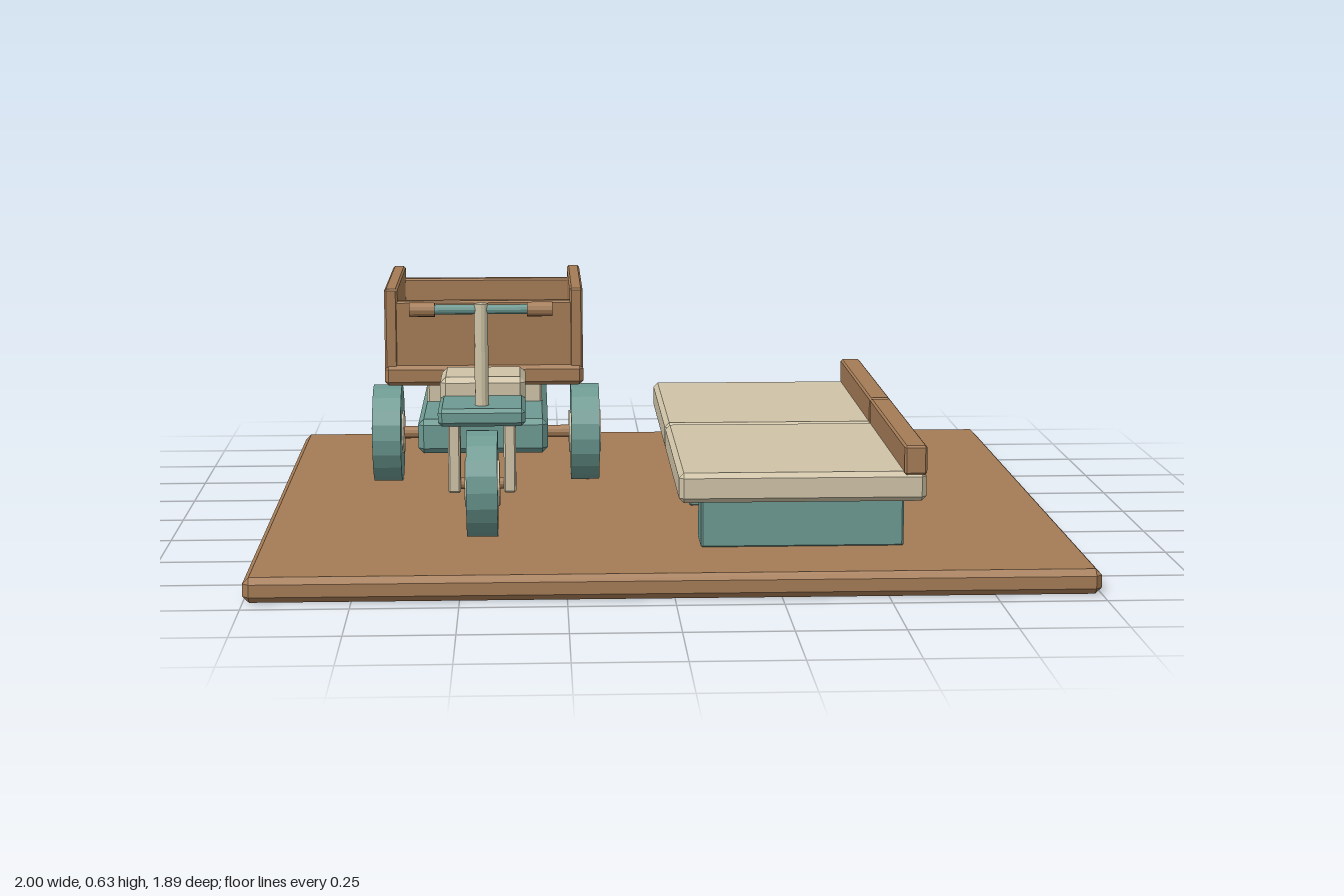
import * as THREE from 'three';
import { ConvexGeometry } from 'three/addons/geometries/ConvexGeometry.js';

const material = (color) => new THREE.MeshStandardMaterial({ color, flatShading: true });

export function createModel() {
  const model = new THREE.Group();
  model.name = 'cargoTrikeAndPlatforms';
  const brown = material(0xa57c56);
  const teal = material(0x6d9a92);
  const cream = material(0xd0c4a8);

  const add = (parent, name, geometry, mat) => {
    const mesh = new THREE.Mesh(geometry, mat);
    mesh.name = name;
    parent.add(mesh);
    return mesh;
  };

  // Chamfered box given by its min and max on each axis
  const block = (parent, name, mat, [x0, x1], [y0, y1], [z0, z1], c = 0.008) => {
    const half = [(x1 - x0) / 2, (y1 - y0) / 2, (z1 - z0) / 2];
    const points = [];
    for (const sx of [-1, 1]) for (const sy of [-1, 1]) for (const sz of [-1, 1]) {
      for (let axis = 0; axis < 3; axis++) {
        const p = half.map((h, i) => (i === axis ? h : h - c));
        points.push(new THREE.Vector3(p[0] * sx, p[1] * sy, p[2] * sz));
      }
    }
    const mesh = add(parent, name, new ConvexGeometry(points), mat);
    mesh.position.set((x0 + x1) / 2, (y0 + y1) / 2, (z0 + z1) / 2);
    return mesh;
  };

  // Cylinder lying along x
  const rod = (parent, name, mat, radius, length, x, y, z, sides = 12) => {
    const geometry = new THREE.CylinderGeometry(radius, radius, length, sides).rotateZ(Math.PI / 2);
    const mesh = add(parent, name, geometry, mat);
    mesh.position.set(x, y, z);
    return mesh;
  };

  // Ground board
  block(model, 'baseBoard', brown, [-1, 1], [0, 0.06], [-0.945, 0.945], 0.015);

  // Two loading platforms, end to end
  for (const s of [-1, 1]) {
    const platform = new THREE.Group();
    platform.name = s > 0 ? 'frontPlatform' : 'rearPlatform';
    model.add(platform);
    const span = (a, b) => (s > 0 ? [a, b] : [-b, -a]);
    block(platform, 'platformSlab', cream, [0.022, 0.62], [0.175, 0.248], span(0.004, 0.695), 0.012);
    block(platform, 'platformRail', brown, [0.565, 0.62], [0.24, 0.312], span(0.004, 0.695), 0.005);
    block(platform, 'platformFoot', teal, [0.077, 0.57], [0.058, 0.18], span(0.04, 0.16), 0.005);
    block(platform, 'platformFoot', teal, [0.077, 0.57], [0.058, 0.18], span(0.543, 0.66), 0.005);
  }

  // Cargo trike, built around its own centre line
  const trike = new THREE.Group();
  trike.name = 'cargoTrike';
  trike.position.x = -0.452;
  model.add(trike);

  // Wheels with hubs
  const wheel = (name, x, z) => {
    const group = new THREE.Group();
    group.name = name;
    group.position.set(x, 0.19, z);
    trike.add(group);
    rod(group, 'tyre', teal, 0.132, 0.076, 0, 0, 0, 20);
    rod(group, 'hub', cream, 0.058, 0.086, 0, 0, 0, 16);
  };
  wheel('frontWheel', 0, 0.492);
  wheel('rightRearWheel', -0.266, -0.23);
  wheel('leftRearWheel', 0.266, -0.23);
  rod(trike, 'rearAxle', brown, 0.017, 0.5, 0, 0.19, -0.23);
  rod(trike, 'frontAxle', brown, 0.014, 0.16, 0, 0.19, 0.492);

  // Chassis, neck and front deck
  block(trike, 'chassis', teal, [-0.163, 0.163], [0.235, 0.322], [-0.39, 0.34], 0.014);
  block(trike, 'neck', teal, [-0.08, 0.08], [0.28, 0.35], [0.285, 0.34], 0.006);
  block(trike, 'frontDeck', teal, [-0.107, 0.107], [0.336, 0.38], [0.283, 0.525], 0.01);

  // Seat on its post
  block(trike, 'seatPost', cream, [-0.04, 0.04], [0.31, 0.37], [0.19, 0.265], 0.004);
  block(trike, 'seat', cream, [-0.107, 0.107], [0.36, 0.426], [0.13, 0.322], 0.014);

  // Fork legs, axle brackets, box sides and grips, mirrored
  for (const s of [-1, 1]) {
    const mirror = (a, b) => (s > 0 ? [a, b] : [-b, -a]);
    block(trike, 'forkLeg', cream, mirror(0.053, 0.083), [0.17, 0.345], [0.455, 0.515], 0.004);
    block(trike, 'axleBracket', cream, mirror(0.108, 0.147), [0.168, 0.25], [-0.26, -0.2], 0.004);
    block(trike, 'cargoSide', brown, mirror(0.222, 0.256), [0.38, 0.622], [-0.422, 0.092], 0.005);
    rod(trike, 'grip', brown, 0.018, 0.062, s * 0.144, 0.617, 0.458);
  }

  // Steering column and handlebar
  const column = add(trike, 'steeringColumn', new THREE.CylinderGeometry(0.017, 0.017, 0.27, 12), cream);
  column.position.set(0, 0.497, 0.46);
  rod(trike, 'handlebar', teal, 0.012, 0.3, 0, 0.617, 0.458);

  // Open cargo box on its support
  block(trike, 'boxSupport', cream, [-0.15, 0.15], [0.31, 0.378], [-0.39, 0.06], 0.006);
  block(trike, 'cargoFloor', brown, [-0.257, 0.257], [0.37, 0.422], [-0.432, 0.1], 0.01);
  block(trike, 'cargoFront', brown, [-0.235, 0.235], [0.4, 0.59], [0.058, 0.09], 0.005);
  block(trike, 'cargoBack', brown, [-0.235, 0.235], [0.4, 0.59], [-0.42, -0.388], 0.005);

  return model;
}
